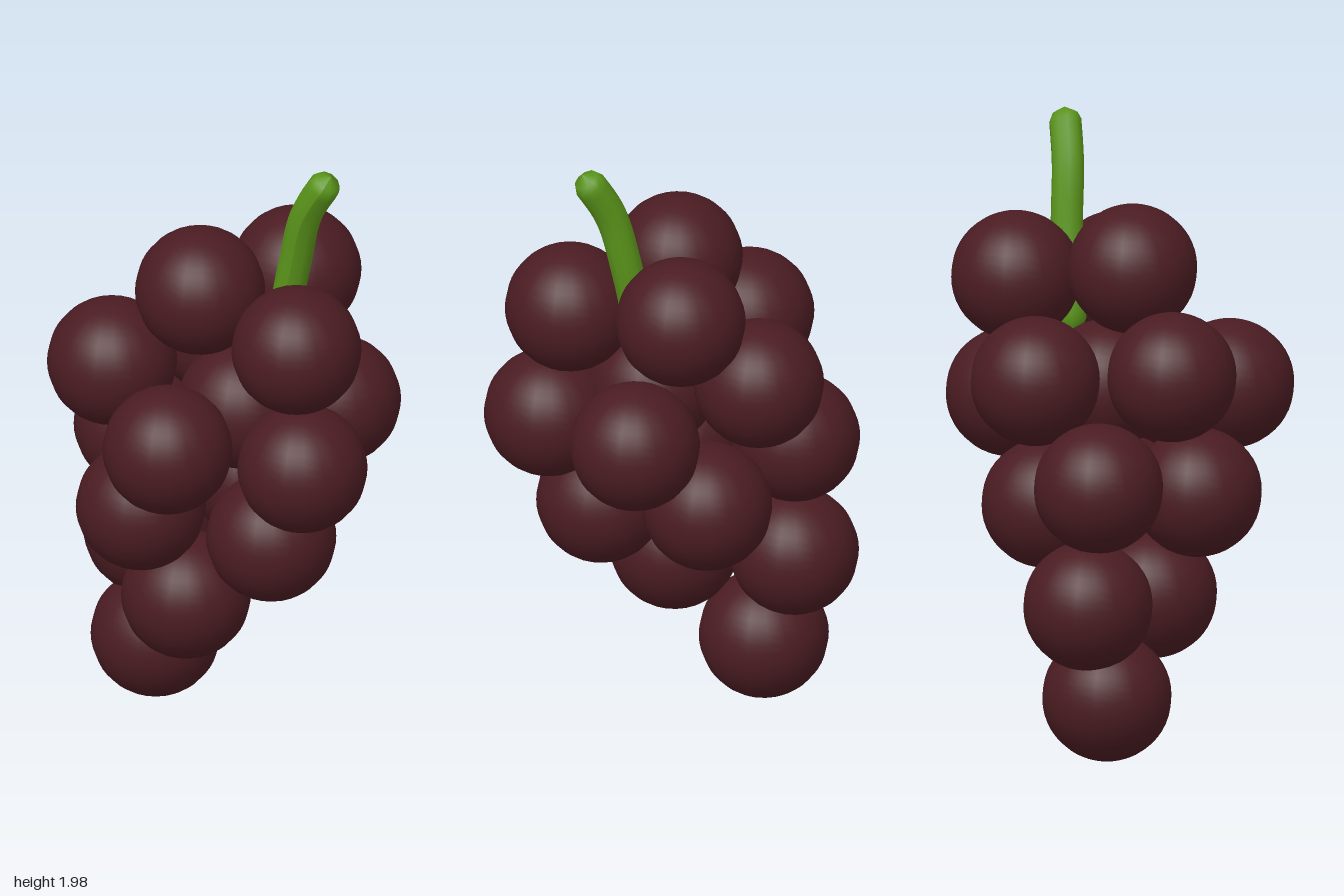
import * as THREE from 'three';

export function createModel() {
  const model = new THREE.Group();
  const skin = new THREE.MeshStandardMaterial({ color: 0x4a1c22 });
  const green = new THREE.MeshStandardMaterial({ color: 0x5a941a });

  // Grapes: centres from the shoulders of the bunch down to its tip
  const centres = [
    [-0.05, 1.54, 0.01], [0.18, 1.5, -0.29], [0.3, 1.43, 0.12],
    [-0.34, 1.25, 0.01], [-0.09, 1.22, -0.35], [-0.06, 1.135, 0.345],
    [0.08, 1.14, -0.02], [0.325, 1.085, -0.24], [0.337, 1.045, 0.18],
    [-0.325, 0.91, -0.24], [-0.2, 0.83, 0.165], [0.04, 0.785, -0.25],
    [0.205, 0.735, 0.08], [-0.3, 0.525, -0.265], [-0.08, 0.485, 0.065],
    [-0.25, 0.21, -0.175],
  ];
  const grapeGeometry = new THREE.SphereGeometry(0.206, 20, 24);
  const grapes = new THREE.Group();
  grapes.name = 'grapes';
  centres.forEach((c, i) => {
    const grape = new THREE.Mesh(grapeGeometry, skin);
    grape.name = `grape${i + 1}`;
    grape.position.set(...c);
    grapes.add(grape);
  });
  model.add(grapes);

  // Stem: curved tube whose rings narrow to closed, bevelled ends
  const curve = new THREE.CatmullRomCurve3([
    new THREE.Vector3(0.17, 1.27, -0.1),
    new THREE.Vector3(0.2, 1.45, -0.095),
    new THREE.Vector3(0.235, 1.63, -0.085),
    new THREE.Vector3(0.28, 1.82, -0.06),
    new THREE.Vector3(0.37, 1.98, -0.03),
  ]);
  const rings = 32, sides = 10;
  const stemGeometry = new THREE.TubeGeometry(curve, rings, 0.052, sides);
  const pos = stemGeometry.attributes.position;
  const v = new THREE.Vector3();
  const taper = (i) => {
    if (i === 0 || i === rings) return 0;
    if (i === 1) return 0.55;
    if (i === rings - 1) return 0.8;
    return i === 2 ? 0.8 : 1;
  };
  for (let i = 0; i <= rings; i++) {
    const centre = curve.getPointAt(i / rings);
    for (let j = 0; j <= sides; j++) {
      const k = i * (sides + 1) + j;
      v.fromBufferAttribute(pos, k).sub(centre).multiplyScalar(taper(i)).add(centre);
      pos.setXYZ(k, v.x, v.y, v.z);
    }
  }
  stemGeometry.computeVertexNormals();
  const stem = new THREE.Mesh(stemGeometry, green);
  stem.name = 'stem';
  model.add(stem);

  return model;
}
